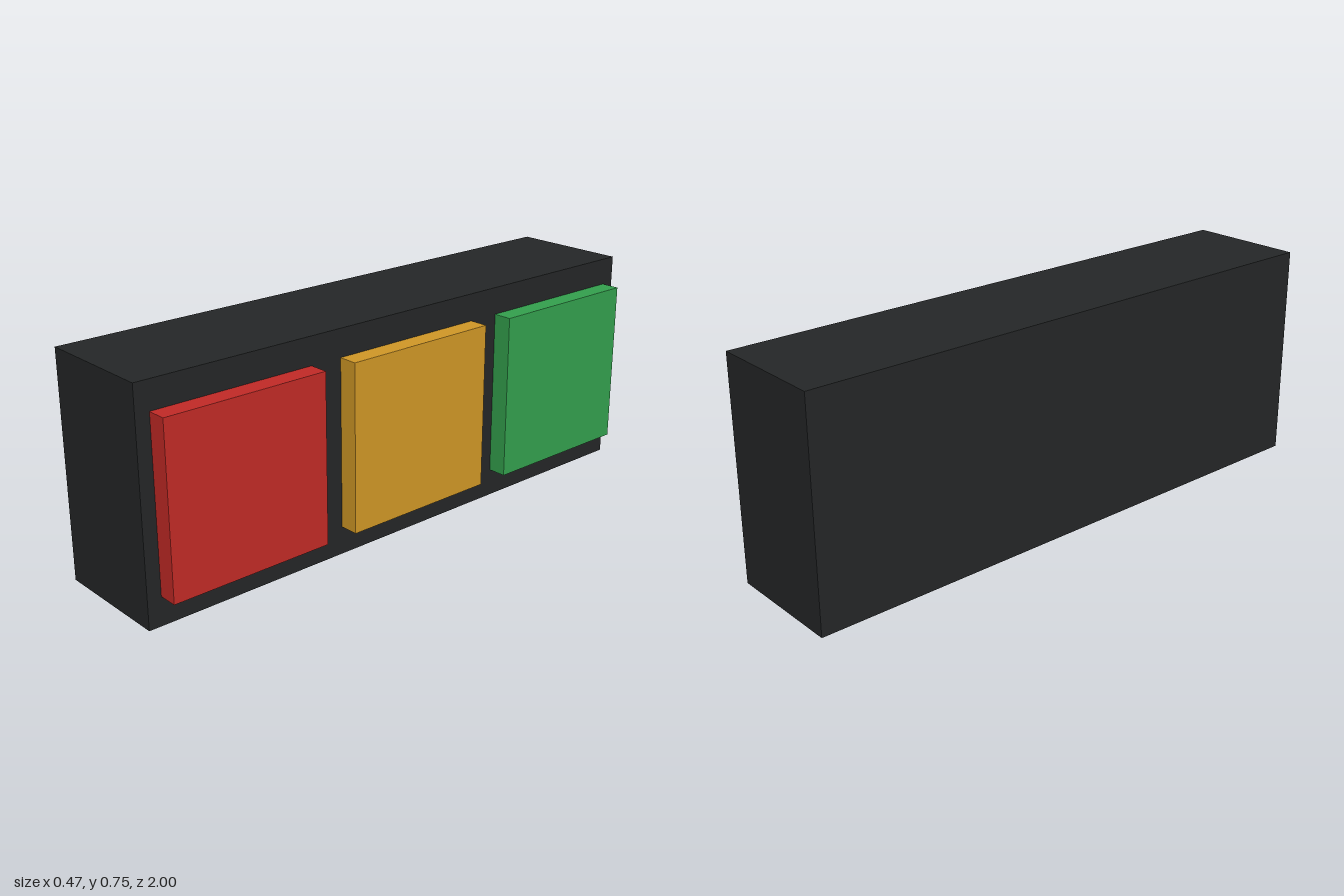
import * as THREE from 'three';

function box(name, color, size, position) {
  const mesh = new THREE.Mesh(
    new THREE.BoxGeometry(...size),
    new THREE.MeshStandardMaterial({ color })
  );
  mesh.name = name;
  mesh.position.set(...position);
  return mesh;
}

export function createModel() {
  const group = new THREE.Group();
  group.name = 'trafficLight';

  // Long dark housing
  const height = 0.747;
  const back = -0.237, face = 0.172, front = 0.237;
  group.add(box('housing', 0x242627, [face - back, height, 2], [(back + face) / 2, height / 2, 0]));

  // Three square lamps on the +x face, sunk slightly into the housing
  const lamps = [
    ['redLamp', 0xc12a26, 0.673],
    ['amberLamp', 0xd09726, 0],
    ['greenLamp', 0x33a04d, -0.673],
  ];
  const inner = face - 0.02;
  for (const [name, color, z] of lamps) {
    group.add(box(name, color, [front - inner, 0.561, 0.561], [(inner + front) / 2, 0.3745, z]));
  }

  return group;
}
